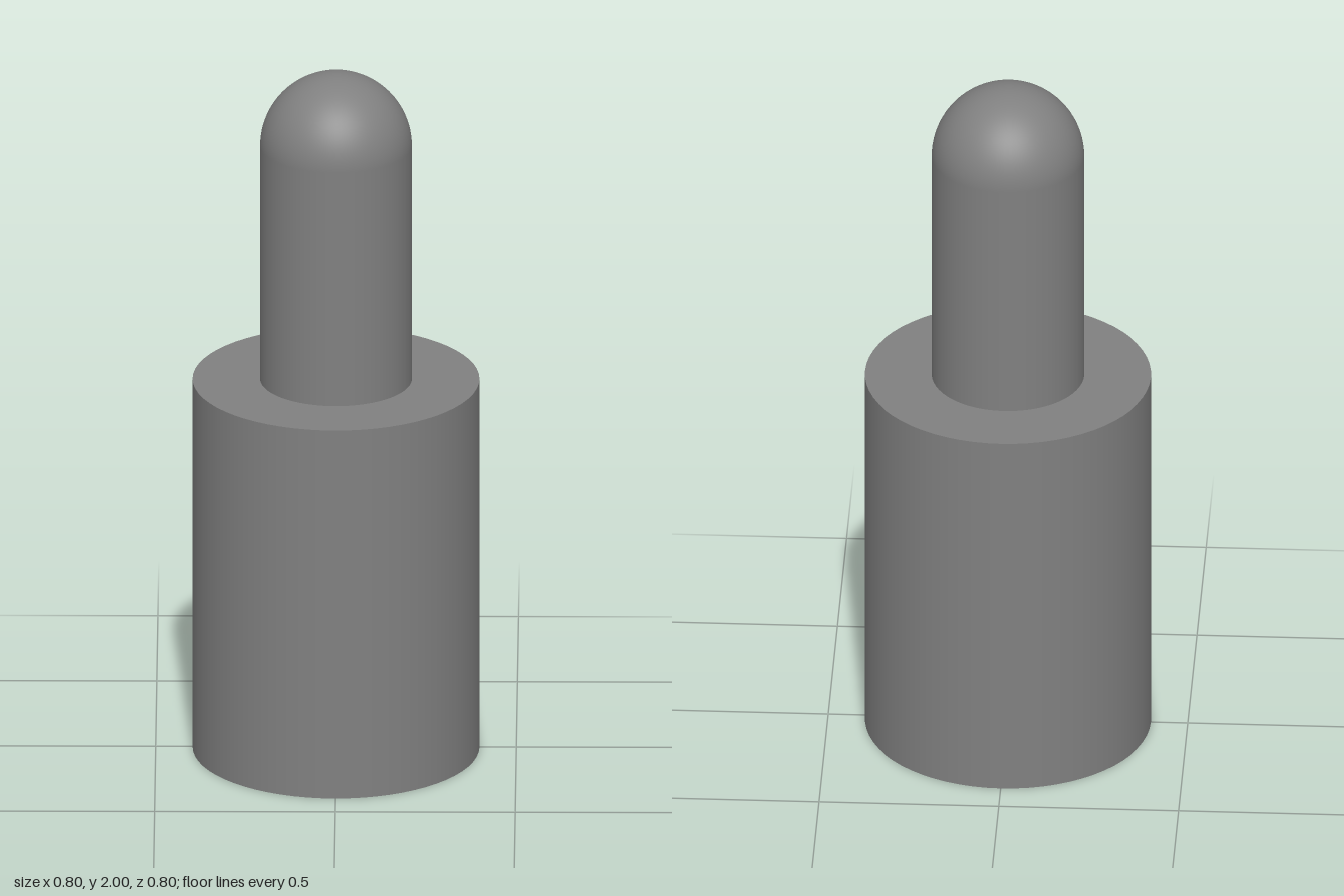
import * as THREE from 'three';

const BODY_RADIUS = 0.398;
const BODY_HEIGHT = 1.095;
const PIN_RADIUS = 0.211;
const TOTAL_HEIGHT = 2;
const SEGMENTS = 64;

export function createModel() {
  const model = new THREE.Group();
  model.name = 'steppedPin';
  const grey = new THREE.MeshStandardMaterial({ color: 0x808080 });
  grey.name = 'grey';

  const add = (name, geometry, y) => {
    const mesh = new THREE.Mesh(geometry, grey);
    mesh.name = name;
    mesh.position.y = y;
    model.add(mesh);
  };

  // Wide cylindrical body
  add('body', new THREE.CylinderGeometry(BODY_RADIUS, BODY_RADIUS, BODY_HEIGHT, SEGMENTS), BODY_HEIGHT / 2);

  // Narrow shaft standing on the body
  const domeBase = TOTAL_HEIGHT - PIN_RADIUS;
  const shaftHeight = domeBase - BODY_HEIGHT;
  add('shaft', new THREE.CylinderGeometry(PIN_RADIUS, PIN_RADIUS, shaftHeight, SEGMENTS, 1, true),
    BODY_HEIGHT + shaftHeight / 2);

  // Hemispherical tip
  add('tip', new THREE.SphereGeometry(PIN_RADIUS, SEGMENTS, 24, 0, Math.PI * 2, 0, Math.PI / 2), domeBase);

  return model;
}
